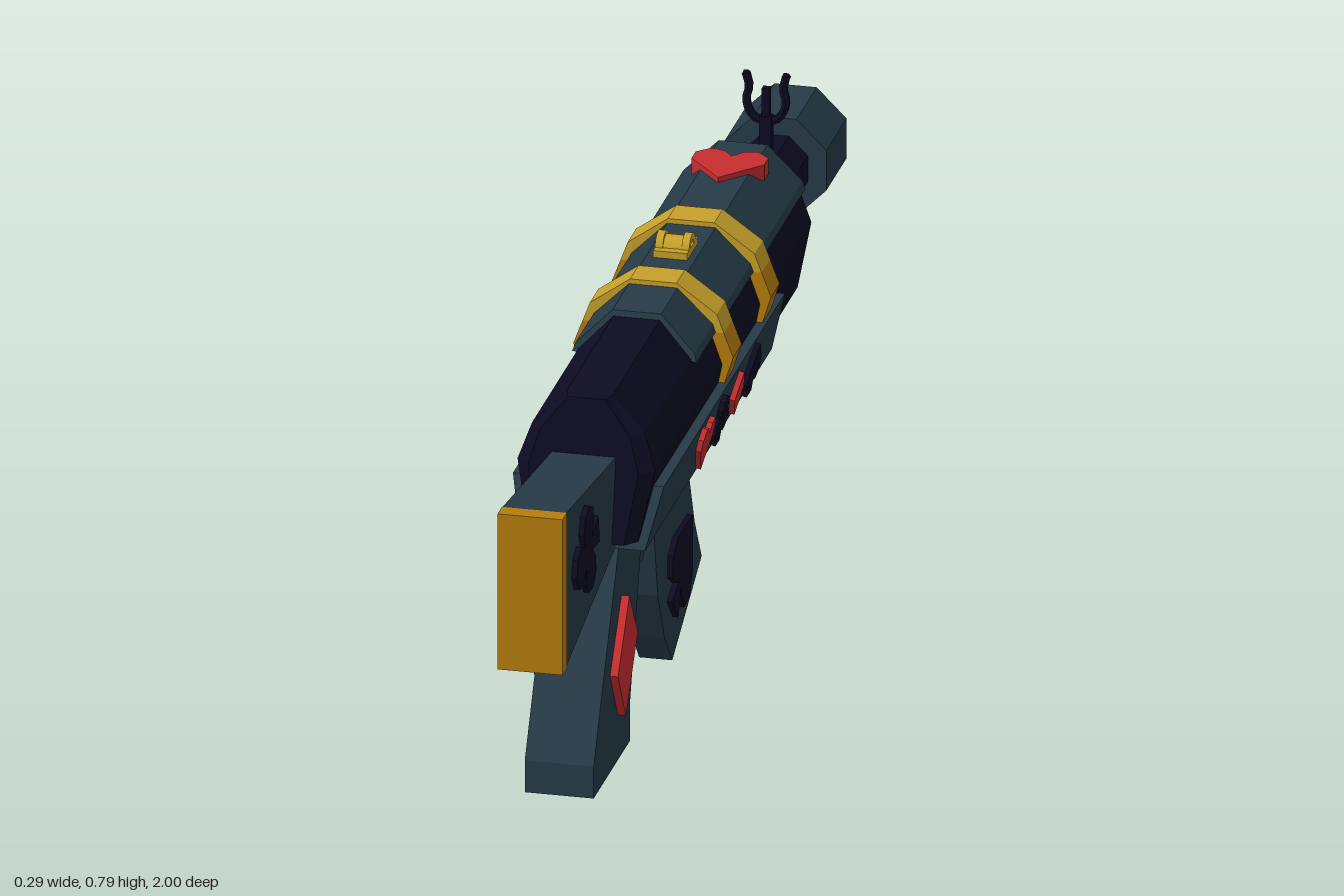
import * as THREE from 'three';

const material = (name, color) => {
  const m = new THREE.MeshStandardMaterial({ color });
  m.name = name;
  return m;
};

export function createModel() {
  const model = new THREE.Group();
  model.name = 'toyRifle';
  const slate = material('slate', 0x263b47);
  const navy = material('navy', 0x0d0b22);
  const red = material('red', 0xc82d2f);
  const gold = material('gold', 0xb57d0c);
  const brightGold = material('bright gold', 0xc6a02a);

  // Adds a flat-shaded part
  function add(name, geometry, mat) {
    const g = geometry.index ? geometry.toNonIndexed() : geometry;
    g.computeVertexNormals();
    const mesh = new THREE.Mesh(g, mat);
    mesh.name = name;
    model.add(mesh);
    return mesh;
  }
  const toShape = (pts) => new THREE.Shape(pts.map(([x, y]) => new THREE.Vector2(x, y)));
  const extrude = (pts, depth) =>
    new THREE.ExtrudeGeometry(toShape(pts), { depth, bevelEnabled: false });
  // Side outline of [z, y] points, spanning -half..half in x
  const profile = (pts, half) =>
    extrude(pts.map(([z, y]) => [-z, y]), half * 2).translate(0, 0, -half).rotateY(Math.PI / 2);
  // Cross-section of [x, y] points, spanning z0..z1
  const section = (pts, z0, z1) => extrude(pts, z1 - z0).translate(0, 0, z0);
  // Completes a right-hand half outline
  const mirror = (half) =>
    half.concat(half.filter((p) => p[0] > 0).reverse().map(([x, y]) => [-x, y]));
  // Slants the rear end of a long part
  function slant(g, zMin, slope, yRef) {
    const p = g.attributes.position;
    for (let i = 0; i < p.count; i++) {
      if (p.getZ(i) > zMin) p.setZ(i, p.getZ(i) + slope * (yRef - p.getY(i)));
    }
    return g;
  }

  // Card suit outlines, one unit tall
  const suits = {
    heart: mirror([[0, -0.5], [0.5, 0.08], [0.5, 0.32], [0.32, 0.5], [0.13, 0.45], [0, 0.28]]),
    diamond: [[0, -0.5], [0.42, 0], [0, 0.5], [-0.42, 0]],
    spade: mirror([[0, 0.5], [0.42, 0.08], [0.48, -0.15], [0.34, -0.32], [0.14, -0.28],
      [0.06, -0.2], [0.18, -0.5]].reverse()),
    club: mirror([[0, 0.5], [0.18, 0.42], [0.24, 0.25], [0.14, 0.08], [0.3, 0.13], [0.46, 0.03],
      [0.5, -0.14], [0.4, -0.3], [0.22, -0.32], [0.07, -0.2], [0.16, -0.5]]),
  };
  // Suit turned by an angle and placed at [z, y], as a side outline
  const suitAt = (name, size, angle, z, y) => suits[name].map(([a, b]) => [
    z - size * (a * Math.cos(angle) - b * Math.sin(angle)),
    y + size * (a * Math.sin(angle) + b * Math.cos(angle))]);

  // Receiver: lengthwise body with a narrower, slanted rear end
  const bodySection = mirror([[0.1, 0.468], [0.125, 0.595], [0.102, 0.66], [0.042, 0.722]]);
  add('receiver', slant(section(bodySection, -0.6, 0.55), 0.5, 0.2, 0.72), navy);
  const rear = section(bodySection, 0.55, 0.575);
  const rp = rear.attributes.position;
  for (let i = 0; i < rp.count; i++) if (rp.getZ(i) > 0.56) rp.setX(i, rp.getX(i) * 0.8);
  add('receiverRear', slant(rear, 0.5, 0.2, 0.72), navy);

  // Upper cover
  add('topCover', slant(section(mirror([[0.113, 0.655], [0.108, 0.67], [0.044, 0.733]]),
    -0.605, 0.195), 0, 0.25, 0.733), slate);

  // Lower shell and rail with ridges
  add('lowerShell', slant(section(mirror([[0.113, 0.452], [0.137, 0.56]]), -0.352, 0.56),
    0, 0.4, 0.56), slate);
  add('underRail', profile([[0.2, 0.455], [-0.29, 0.455], [-0.245, 0.412], [0.2, 0.412]], 0.06), slate);
  for (const z of [-0.112, -0.197]) {
    add('railRidge', new THREE.BoxGeometry(0.07, 0.025, 0.065).translate(0, 0.403, z), slate);
  }

  // Gold bands
  for (const z of [0.04, -0.245]) {
    const z0 = z - 0.032, z1 = z + 0.032;
    add('bandTop', section(mirror([[0.1, 0.655], [0.128, 0.655], [0.115, 0.69], [0.042, 0.742]]),
      z0, z1), brightGold);
    for (const s of [-1, 1]) {
      add('bandSide', section([[0.1, 0.555], [0.128, 0.555], [0.145, 0.61], [0.128, 0.655],
        [0.1, 0.655]].map(([x, y]) => [x * s, y]), z0, z1), gold);
    }
  }

  // Small arched sight on the cover
  const arch = new THREE.Shape().absarc(0.095, 0.742, 0.026, 0, Math.PI, false);
  arch.holes.push(new THREE.Path().absarc(0.095, 0.742, 0.014, 0, Math.PI, false));
  for (const x of [-0.024, 0, 0.024]) {
    const w = x ? 0.014 : 0.034, top = x ? 0 : -0.006;
    add('rearSightArch', new THREE.ExtrudeGeometry(arch, { depth: w, bevelEnabled: false, curveSegments: 6 })
      .translate(0, top, -w / 2).rotateY(Math.PI / 2).translate(x, 0, 0), brightGold);
  }
  add('rearSightBase', new THREE.BoxGeometry(0.062, 0.016, 0.08).translate(0, 0.738, -0.095), brightGold);

  // Stock with butt plate
  add('stock', profile([[0.97, 0.667], [0.56, 0.618], [0.56, 0.46], [0.97, 0.372]], 0.058), slate);
  add('buttPlate', profile([[1, 0.667], [0.967, 0.667], [0.967, 0.37], [1, 0.37]], 0.059), gold);
  add('stockClub', profile(suitAt('club', 0.17, 1.75, 0.845, 0.54), 0.068), navy);

  // Grip
  add('grip', profile([[0.78, 0.046], [0.78, 0.107], [0.587, 0.458], [0.4, 0.458],
    [0.507, 0.118], [0.507, 0.046]], 0.0625), slate);
  add('gripDiamond', profile([[0.571, 0.35], [0.507, 0.255], [0.598, 0.132], [0.657, 0.23]], 0.077), red);

  // Trigger and guard
  add('trigger', profile([[0.42, 0.46], [0.31, 0.46], [0.385, 0.345], [0.435, 0.332]], 0.018), navy);
  add('triggerGuard', profile([[0.46, 0.295], [0.27, 0.295], [0.17, 0.455], [0.215, 0.455],
    [0.285, 0.327], [0.46, 0.327]], 0.03), slate);

  // Curved magazine with ridged base
  add('magazine', profile([[0.2, 0.455], [0.193, 0.32], [0.163, 0.18], [0.112, 0.08], [0.053, 0.013],
    [-0.168, 0.123], [-0.115, 0.21], [-0.075, 0.31], [-0.05, 0.43], [-0.05, 0.455]], 0.03), slate);
  for (const t of [0.1, 0.38, 0.66, 0.92]) {
    const ridge = new THREE.BoxGeometry(0.032, 0.026, 0.036).rotateX(0.475);
    add('magazineRidge', ridge.translate(0, 0.018 + t * 0.11, 0.053 - t * 0.221), slate);
  }
  add('magazineSpade', profile(suitAt('spade', 0.185, -0.8, 0.005, 0.182), 0.04), navy);

  // Raised suits along both sides of the lower shell
  const row = [['heart', 0.092, 0.232, red], ['club', 0.095, 0.105, navy],
    ['diamond', 0.085, -0.018, red], ['spade', 0.1, -0.135, navy]];
  for (const s of [-1, 1]) {
    for (const [name, size, z, mat] of row) {
      const pts = suits[name].map(([a, b]) => [a * size, b * size]);
      const g = extrude(pts, 0.014).rotateY(s * Math.PI / 2).rotateZ(-s * 0.219);
      add(name + 'Badge', g.translate(s * 0.121, 0.507, z), mat);
    }
  }

  // Heart on the cover
  add('topHeart', extrude(suits.heart.map(([a, b]) => [a * 0.132, b * 0.13]), 0.03)
    .rotateX(-Math.PI / 2).translate(0, 0.713, -0.48), red);

  // Barrel and hollow muzzle
  const axis = (g) => g.rotateY(Math.PI / 8).rotateX(-Math.PI / 2);
  add('barrel', axis(new THREE.CylinderGeometry(0.064, 0.064, 0.3, 8)).translate(0, 0.59, -0.72), navy);
  const ring = toShape([...Array(8).keys()].map((i) => {
    const a = (i + 0.5) * Math.PI / 4;
    return [0.1 * Math.cos(a), 0.1 * Math.sin(a)];
  }));
  ring.holes.push(new THREE.Path(ring.getPoints().map((p) => p.clone().multiplyScalar(0.64))));
  add('muzzle', new THREE.ExtrudeGeometry(ring, { depth: 0.152, bevelEnabled: false })
    .translate(0, 0.59, -1), slate);
  const bore = axis(new THREE.CylinderGeometry(0.0635, 0.0635, 0.13, 8, 1, true));
  const bp = bore.toNonIndexed();
  const pos = bp.attributes.position;
  for (let i = 0; i < pos.count; i += 3) { // face inward
    const a = new THREE.Vector3().fromBufferAttribute(pos, i);
    const b = new THREE.Vector3().fromBufferAttribute(pos, i + 1);
    pos.setXYZ(i, b.x, b.y, b.z);
    pos.setXYZ(i + 1, a.x, a.y, a.z);
  }
  add('muzzleBore', bp.translate(0, 0.59, -0.934), navy);

  // Forked front sight
  add('frontSightPost', new THREE.BoxGeometry(0.022, 0.08, 0.018).translate(0, 0.675, -0.78), navy);
  add('frontSightPin', new THREE.BoxGeometry(0.014, 0.065, 0.014).translate(0, 0.735, -0.78), navy);
  for (const s of [-1, 1]) {
    const path = new THREE.CatmullRomCurve3([[0, 0.702], [0.024, 0.712], [0.036, 0.742],
      [0.031, 0.768], [0.037, 0.794]].map(([x, y]) => new THREE.Vector3(s * x, y, -0.78)));
    add('frontSightProng', new THREE.TubeGeometry(path, 10, 0.008, 6), navy);
    add('frontSightTip', new THREE.IcosahedronGeometry(0.009, 0).translate(s * 0.036, 0.79, -0.78), navy);
  }

  // Settle on the ground plane, centred
  const box = new THREE.Box3().setFromObject(model);
  model.position.y = -box.min.y;
  return model;
}
